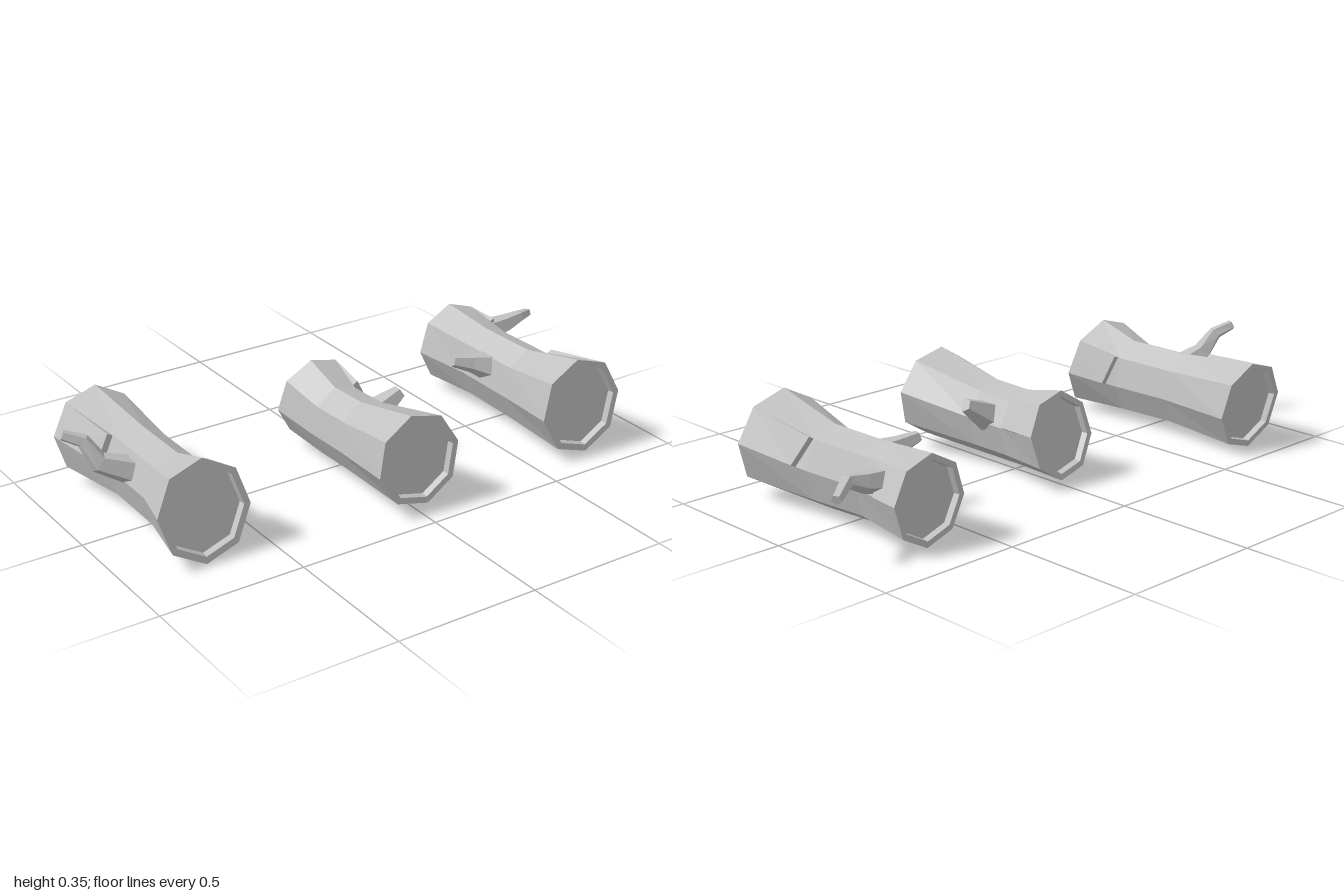
import * as THREE from 'three';

const V = (x, y, z) => new THREE.Vector3(x, y, z);

// Turns a list of triangle corners into a faceted geometry
function faceted(points) {
  const g = new THREE.BufferGeometry().setFromPoints(points);
  g.computeVertexNormals();
  return g;
}

// Joins a row of closed rings and caps both ends
function loft(rings) {
  const n = rings[0].length, out = [];
  for (let i = 0; i < rings.length - 1; i++) {
    for (let j = 0; j < n; j++) {
      const k = (j + 1) % n;
      const a = rings[i][j], b = rings[i][k], c = rings[i + 1][k], d = rings[i + 1][j];
      out.push(a, d, b, b, d, c);
    }
  }
  const first = rings[0], last = rings[rings.length - 1];
  for (let j = 1; j < n - 1; j++) {
    out.push(first[0], first[j], first[j + 1], last[0], last[j + 1], last[j]);
  }
  return faceted(out);
}

// Octagonal cross-section of a log, with a leaning plane
function logRing({ x, y, z, rx, ry, tilt = 0 }, rot, scale = 1, dz = 0) {
  return Array.from({ length: 8 }, (_, j) => {
    const a = THREE.MathUtils.degToRad(rot + j * 45);
    const dy = Math.sin(a) * ry * scale;
    return V(x + Math.cos(a) * rx * scale, y + dy, z + dz + tilt * dy);
  });
}

// Log body with a raised rim and a sunken face at each end
function logGeometry(sections, rot) {
  const f = sections[0], b = sections[sections.length - 1];
  return loft([
    logRing(f, rot, 0.84, -0.022), logRing(f, rot, 0.86),
    ...sections.map(s => logRing(s, rot)),
    logRing(b, rot, 0.86), logRing(b, rot, 0.84, 0.022),
  ]);
}

// Bark flake lying on one facet: flush at the log's end, stepped at its inner edge
function flakeGeometry(sections, rot, { end, facet, t, h }) {
  const last = sections.length - 1;
  const outer = logRing(sections[end === 'front' ? 0 : last], rot);
  const inner = logRing(sections[end === 'front' ? 1 : last - 1], rot);
  const k = (facet + 1) % 8;
  const a = outer[facet], b = outer[k];
  const c = b.clone().lerp(inner[k], t[1]), d = a.clone().lerp(inner[facet], t[0]);
  const ang = THREE.MathUtils.degToRad(rot + facet * 45 + 22.5);
  const lift = V(Math.cos(ang) * h, Math.sin(ang) * h, 0);
  const C = c.clone().add(lift), D = d.clone().add(lift);
  const tris = [a, D, b, b, D, C, D, d, C, C, d, c, a, d, D, b, C, c];
  if (end === 'back') tris.reverse();
  return faceted(tris);
}

// Tapering branch stub through points [x, y, z, radius]
function branchGeometry(path) {
  const pts = path.map(p => V(p[0], p[1], p[2]));
  return loft(pts.map((p, i) => {
    const t = pts[Math.min(i + 1, pts.length - 1)].clone().sub(pts[Math.max(i - 1, 0)]).normalize();
    const u = V(0, 1, 0).cross(t).normalize(), v = u.clone().cross(t);
    return Array.from({ length: 5 }, (_, j) => {
      const a = j / 5 * Math.PI * 2 + Math.PI / 2;
      return p.clone().addScaledVector(u, Math.cos(a) * path[i][3]).addScaledVector(v, Math.sin(a) * path[i][3]);
    });
  }));
}

const LOGS = [
  {
    name: 'rightLog', rot: -6,
    sections: [
      { x: -0.725, y: 0.172, z: 0.298, rx: 0.162, ry: 0.165, tilt: -0.2 },
      { x: -0.72, y: 0.15, z: 0.11, rx: 0.112, ry: 0.138 },
      { x: -0.72, y: 0.153, z: -0.12, rx: 0.112, ry: 0.135 },
      { x: -0.73, y: 0.156, z: -0.415, rx: 0.152, ry: 0.157, tilt: -0.1 },
    ],
    flakes: [
      { end: 'front', facet: 0, t: [0.8, 0.95], h: 0.02 },
      { end: 'back', facet: 3, t: [0.88, 0.88], h: 0.022 },
    ],
    branches: [[[-0.79, 0.19, -0.02, 0.05], [-0.9, 0.24, -0.05, 0.036], [-0.935, 0.312, -0.08, 0.024], [-0.992, 0.337, -0.108, 0.018]]],
  },
  {
    name: 'middleLog', rot: 9,
    sections: [
      { x: -0.002, y: 0.187, z: 0.412, rx: 0.157, ry: 0.157, tilt: -0.1 },
      { x: -0.012, y: 0.153, z: 0.12, rx: 0.11, ry: 0.132 },
      { x: -0.014, y: 0.15, z: -0.03, rx: 0.11, ry: 0.13 },
      { x: 0.001, y: 0.17, z: -0.217, rx: 0.14, ry: 0.146, tilt: 0.17 },
    ],
    flakes: [{ end: 'back', facet: 0, t: [0.9, 0.9], h: 0.02 }],
    branches: [[[0.07, 0.19, 0.06, 0.055], [0.168, 0.247, 0.065, 0.024]]],
  },
  {
    name: 'leftLog', rot: 5,
    sections: [
      { x: 0.692, y: 0.182, z: 0.388, rx: 0.165, ry: 0.168, tilt: -0.1 },
      { x: 0.69, y: 0.15, z: 0.11, rx: 0.112, ry: 0.14 },
      { x: 0.685, y: 0.155, z: -0.12, rx: 0.11, ry: 0.135 },
      { x: 0.692, y: 0.157, z: -0.345, rx: 0.14, ry: 0.149 },
    ],
    flakes: [
      { end: 'front', facet: 0, t: [0.85, 0.98], h: 0.02 },
      { end: 'back', facet: 0, t: [0.45, 0.6], h: 0.016 },
    ],
    branches: [
      [[0.61, 0.2, -0.02, 0.055], [0.545, 0.22, -0.035, 0.034], [0.475, 0.238, -0.05, 0.02]],
      [[0.76, 0.215, -0.235, 0.048], [0.85, 0.227, -0.23, 0.036], [0.91, 0.243, -0.226, 0.023], [0.993, 0.22, -0.28, 0.017]],
    ],
  },
];

export function createModel() {
  const model = new THREE.Group();
  model.name = 'logs';
  const wood = new THREE.MeshStandardMaterial({ color: 0xc0c0c0 });
  wood.name = 'paleGrey';

  for (const { name, rot, sections, flakes, branches } of LOGS) {
    const log = new THREE.Group();
    log.name = name;
    const add = (part, geometry) => {
      const mesh = new THREE.Mesh(geometry, wood);
      mesh.name = part;
      log.add(mesh);
    };
    add('trunk', logGeometry(sections, rot));
    flakes.forEach(f => add('barkFlake', flakeGeometry(sections, rot, f)));
    branches.forEach(b => add('branch', branchGeometry(b)));
    model.add(log);
  }
  return model;
}
